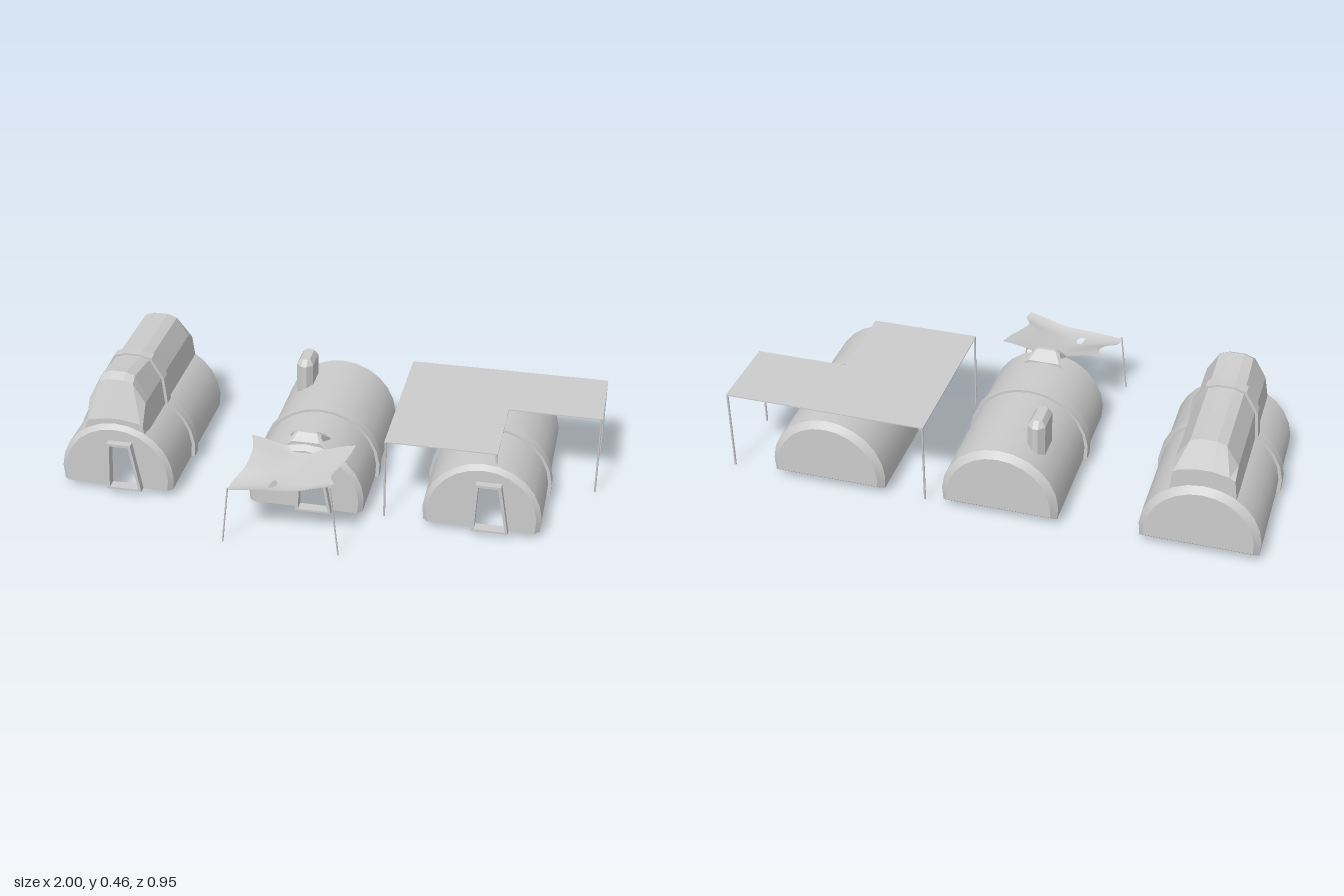
import * as THREE from 'three';
import { toCreasedNormals } from 'three/addons/utils/BufferGeometryUtils.js';

const mat = new THREE.MeshStandardMaterial({ color: 0xcccccc, side: THREE.DoubleSide });
const BASE = 0.025;

function add(parent, name, geometry) {
  const mesh = new THREE.Mesh(geometry, mat);
  mesh.name = name;
  parent.add(mesh);
  return mesh;
}

// Skin over rings of [x, y, z]; optional closing, end caps and skipped cells
function loft(rings, { closed = false, capStart = false, capEnd = false, crease = 0.5, skip = () => false } = {}) {
  const n = rings[0].length, index = [];
  for (let i = 0; i < rings.length - 1; i++) {
    for (let j = 0; j < (closed ? n : n - 1); j++) {
      if (skip(i, j)) continue;
      const a = i * n + j, b = i * n + (j + 1) % n, c = a + n, d = b + n;
      index.push(a, c, b, b, c, d);
    }
  }
  const last = (rings.length - 1) * n;
  for (let j = 1; j < n - 1; j++) {
    if (capStart) index.push(0, j, j + 1);
    if (capEnd) index.push(last, last + j + 1, last + j);
  }
  const g = new THREE.BufferGeometry();
  g.setAttribute('position', new THREE.Float32BufferAttribute(rings.flat(2), 3));
  g.setIndex(index);
  return toCreasedNormals(g, crease);
}

// Horseshoe arch section, from the +x foot over the top to the -x foot
function arch(r, z, foot = BASE, cy = 0.067) {
  const a = Math.asin((cy - foot) / r), pts = [];
  for (let i = 0; i <= 14; i++) {
    const t = -a + (Math.PI + 2 * a) * i / 14;
    pts.push([r * Math.cos(t), cy + r * Math.sin(t), z]);
  }
  return pts;
}

function trapezoid(path, x, w0, w1, y0, y1, shift) {
  path.moveTo(x - w0, y0);
  path.lineTo(x + w0, y0);
  path.lineTo(x + w1 - shift, y1);
  path.lineTo(x - w1 - shift, y1);
  path.closePath();
  return path;
}

function createHut(name, x) {
  const hut = new THREE.Group();
  hut.name = name;
  hut.position.x = x;

  add(hut, 'vaultedShell', loft(
    [arch(0.2, 0.23), arch(0.217, 0.212), arch(0.217, -0.45)]));
  add(hut, 'backWall', loft(
    [arch(0.217, -0.45), arch(0.194, -0.473, 0.045)], { closed: true, capEnd: true }));
  add(hut, 'middleBand', loft(
    [arch(0.216, -0.033), arch(0.23, -0.033, BASE, 0.063), arch(0.23, -0.074, BASE, 0.063), arch(0.216, -0.074)]));

  // Front wall with its doorway
  const wall = new THREE.Shape(arch(0.2, 0).map(p => new THREE.Vector2(p[0], p[1])));
  wall.holes.push(trapezoid(new THREE.Path(), 0.035, 0.056, 0.036, 0.033, 0.21, 0.012));
  add(hut, 'frontWall', new THREE.ShapeGeometry(wall)).position.z = 0.23;

  // Projecting door frame
  const frame = trapezoid(new THREE.Shape(), 0.035, 0.067, 0.046, BASE, 0.22, 0.012);
  frame.holes.push(trapezoid(new THREE.Path(), 0.035, 0.056, 0.036, 0.033, 0.21, 0.012));
  add(hut, 'doorFrame', new THREE.ExtrudeGeometry(frame, { depth: 0.04, bevelEnabled: false })).position.z = 0.217;
  return hut;
}

// Section of the raised roof: sloped sides, shoulders and a narrow crown
function roofSection(z, h, grow = 0) {
  const t = THREE.MathUtils.clamp((h - 0.3) / 0.15, 0, 1);
  const half = [
    [0.121 + grow, 0.22],
    [0.108 + grow, Math.min(0.355, h - 0.025)],
    [THREE.MathUtils.lerp(0.1, 0.062, t) + grow, h - 0.013],
    [0.028, h],
  ];
  return [...half.map(([x, y]) => [x, y, z]), ...half.reverse().map(([x, y]) => [-x, y, z])];
}

function addRaisedRoof(hut) {
  const stations = [[0.212, 0.303], [0.163, 0.442], [0.13, 0.461], [-0.035, 0.442], [-0.4, 0.442], [-0.45, 0.35]];
  add(hut, 'raisedRoof', loft(stations.map(([z, h]) => roofSection(z, h)),
    { capStart: true, capEnd: true, crease: 0.15 }));
  add(hut, 'raisedRoofBand', loft([
    roofSection(-0.033, 0.435), roofSection(-0.033, 0.449, 0.011),
    roofSection(-0.074, 0.449, 0.011), roofSection(-0.074, 0.435)], { crease: 0.15 }));
}

function addChimney(hut) {
  // Chamfered rectangle, narrowing at the top
  const ring = (y, w, d, c) =>
    [[w, d - c], [w - c, d], [c - w, d], [-w, d - c], [-w, c - d], [c - w, -d], [w - c, -d], [w, c - d]]
      .map(([x, z]) => [x, y, z]);
  const g = loft([ring(0.372, 0.018, 0.046, 0.008), ring(0.35, 0.032, 0.069, 0.022), ring(0.2, 0.032, 0.069, 0.022)],
    { closed: true, capStart: true, crease: 0.2 });
  g.scale(-1, 1, 1);
  // restore the winding after mirroring
  const p = g.attributes.position, nrm = g.attributes.normal;
  for (const a of [p, nrm]) for (let i = 0; i < a.count; i++) a.setX(i, -a.getX(i));
  add(hut, 'chimney', g).position.set(-0.11, 0, -0.312);
}

function addRoofHood(hut) {
  const section = (z, h, w, top) =>
    [[w, 0.25], [w, h - 0.012], [top, h], [-top, h], [-w, h - 0.012], [-w, 0.25]].map(([x, y]) => [x, y, z]);
  add(hut, 'roofHood', loft(
    [section(0.21, 0.292, 0.068, 0.05), section(0.185, 0.319, 0.052, 0.035),
      section(0.172, 0.319, 0.052, 0.035), section(0.133, 0.287, 0.075, 0.06)],
    { capStart: true, capEnd: true, crease: 0.1 }));
}

function pole(parent, name, from, to, r = 0.003) {
  const a = new THREE.Vector3(...from), b = new THREE.Vector3(...to);
  const m = add(parent, name, new THREE.CylinderGeometry(r, r, a.distanceTo(b), 6));
  m.position.copy(a).add(b).multiplyScalar(0.5);
  m.quaternion.setFromUnitVectors(new THREE.Vector3(0, 1, 0), b.sub(a).normalize());
}

// Ragged, sagging cloth awning with a tear
function createAwning() {
  const awning = new THREE.Group();
  awning.name = 'tornAwning';
  const curve = pts => new THREE.SplineCurve(pts.map(p => new THREE.Vector2(...p)));
  const left = curve([[-0.245, 0.21], [-0.225, 0.28], [-0.235, 0.36], [-0.265, 0.42], [-0.272, 0.473]]);
  const right = curve([[0.14, 0.21], [0.125, 0.28], [0.1, 0.35], [0.088, 0.4], [0.11, 0.44], [0.1, 0.473]]);
  const ROWS = 14, COLS = 14, rows = [];
  for (let i = 0; i <= ROWS; i++) {
    const v = i / ROWS, l = left.getPoint(v), r = right.getPoint(v), row = [];
    for (let j = 0; j <= COLS; j++) {
      const u = j / COLS;
      const p = l.clone().lerp(r, u);
      const edge = THREE.MathUtils.lerp(0.3, 0.225 + 0.055 * u, v * v * (3 - 2 * v));
      const sag = 0.035 * Math.sin(Math.PI * u) * (1 - 0.6 * v) + 0.022 * Math.sin(Math.PI * v);
      const ripple = 0.003 * Math.sin(9 * u + 5 * v);
      row.push([p.x, edge - sag * (0.5 + 0.5 * Math.sin(Math.PI * u)) + ripple,
        p.y - 0.008 * Math.sin(u * 17) * v * (1 - v) + (i === 0 ? 0.01 * Math.sin(Math.PI * u) : 0)]);
    }
    rows.push(row);
  }
  // Pinch both ends of the tear
  rows[8][6][0] -= 0.012;
  rows[11][6][0] -= 0.012;
  add(awning, 'awningCloth', loft(rows, { crease: 1, skip: (i, j) => i >= 8 && i <= 10 && j === 5 }));
  pole(awning, 'awningPole', [-0.27, 0.23, 0.472], [-0.295, 0, 0.472]);
  pole(awning, 'awningPole', [0.1, 0.28, 0.472], [0.13, 0, 0.472]);
  return awning;
}

// Flat L-shaped canopy on thin posts
function createCanopy() {
  const canopy = new THREE.Group();
  canopy.name = 'canopy';
  const outline = [[0.24, -0.44], [0.997, -0.44], [0.997, -0.137], [0.65, -0.137], [0.65, 0.19], [0.24, 0.19]];
  const shape = new THREE.Shape(outline.map(([x, z]) => new THREE.Vector2(x, -z)));
  const g = new THREE.ExtrudeGeometry(shape, { depth: 0.004, bevelEnabled: false });
  g.rotateX(-Math.PI / 2);
  add(canopy, 'canopySheet', g).position.y = 0.314;
  for (const [x, z, foot] of [[0.244, 0.186, 0], [0.244, -0.436, 0], [0.993, -0.436, 0], [0.993, -0.141, 0], [0.646, 0.186, 0.27]]) {
    pole(canopy, 'canopyPost', [x, foot, z], [x, 0.316, z], 0.004);
  }
  return canopy;
}

export function createModel() {
  const model = new THREE.Group();
  model.name = 'hutCamp';
  const tallHut = createHut('tallHut', -0.77);
  addRaisedRoof(tallHut);
  const middleHut = createHut('middleHut', -0.045);
  addChimney(middleHut);
  addRoofHood(middleHut);
  const canopyHut = createHut('canopyHut', 0.606);
  model.add(tallHut, middleHut, canopyHut, createAwning(), createCanopy());
  return model;
}
